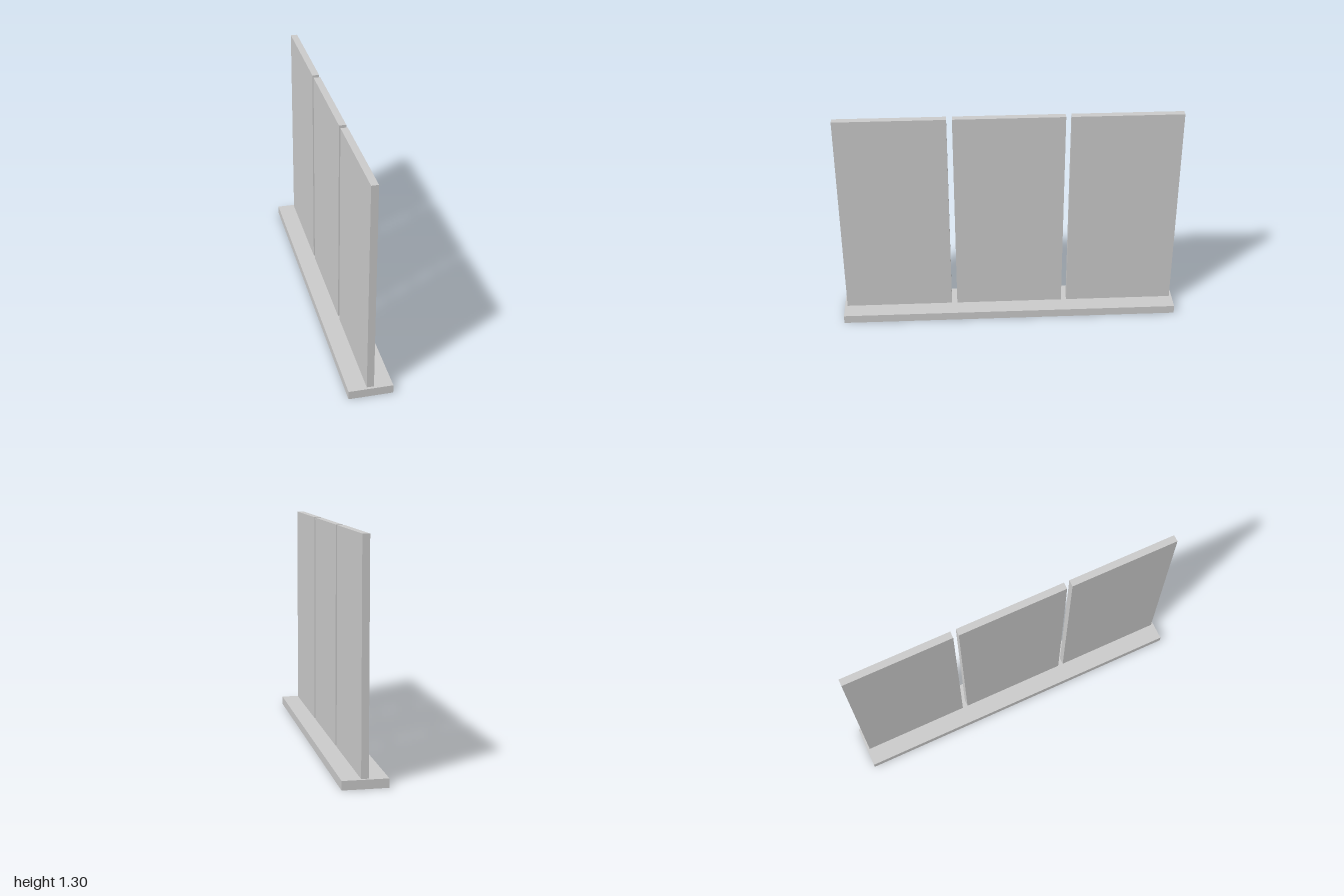
import * as THREE from 'three';

const BASE = { width: 0.25, height: 0.05, length: 2 };
const PANEL = { thickness: 0.04, height: 1.25, width: 0.635 };
const PITCH = 0.667; // spacing between panel centres

export function createModel() {
  const group = new THREE.Group();
  group.name = 'panelScreen';
  const material = new THREE.MeshStandardMaterial({ color: 0xcccccc });

  // A box standing on height y
  const addBox = (name, w, h, d, y, z) => {
    const mesh = new THREE.Mesh(new THREE.BoxGeometry(w, h, d), material);
    mesh.name = name;
    mesh.position.set(0, y + h / 2, z);
    group.add(mesh);
  };

  // Long base plinth
  addBox('base', BASE.width, BASE.height, BASE.length, 0, 0);

  // Three upright panels in a row, with narrow gaps between
  ['backPanel', 'middlePanel', 'frontPanel'].forEach((name, i) => {
    addBox(name, PANEL.thickness, PANEL.height, PANEL.width, BASE.height, (i - 1) * PITCH);
  });

  return group;
}
